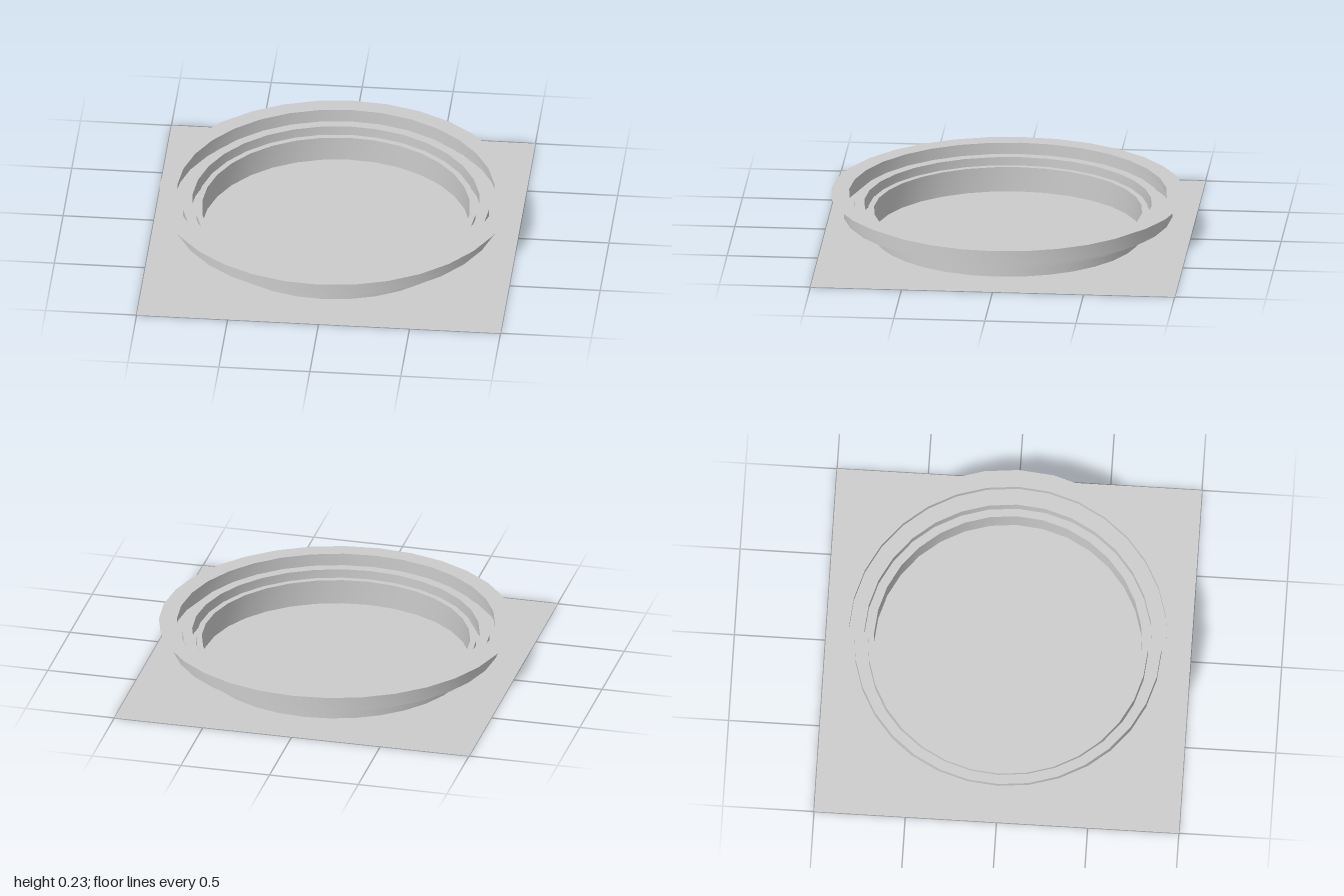
import * as THREE from 'three';
import { toCreasedNormals } from 'three/addons/utils/BufferGeometryUtils.js';

const SIDES = 32;

export function createModel() {
  const group = new THREE.Group();
  const material = new THREE.MeshStandardMaterial({ color: 0xcccccc, side: THREE.DoubleSide });

  const add = (name, geometry) => {
    const mesh = new THREE.Mesh(geometry, material);
    mesh.name = name;
    group.add(mesh);
  };

  // Thin turned sheet from a list of [radius, height], smooth around and sharp at each step
  const addRing = (name, profile) => {
    const points = profile.map(([r, y]) => new THREE.Vector2(r, y));
    add(name, toCreasedNormals(new THREE.LatheGeometry(points, SIDES), 0.6));
  };

  // Flat square sheet under the ring
  add('basePlate', new THREE.PlaneGeometry(2, 2).rotateX(-Math.PI / 2));

  // Innermost wall with its raised lip
  addRing('innerLip', [[0.735, 0], [0.735, 0.14], [0.767, 0.14], [0.767, 0.073]]);

  // Lower groove, undercut below the middle lip
  addRing('lowerGroove', [[0.735, 0.073], [0.803, 0.073], [0.803, 0.124], [0.788, 0.124]]);

  // Raised lip between the two grooves
  addRing('middleLip', [[0.788, 0.124], [0.788, 0.18], [0.842, 0.18], [0.842, 0.124]]);

  // Upper groove, undercut below the flange
  addRing('upperGroove', [[0.803, 0.124], [0.903, 0.124], [0.903, 0.203], [0.872, 0.203]]);

  // Collar and wide flat flange on top
  addRing('flange', [[0.872, 0.203], [0.872, 0.235], [0.97, 0.235]]);

  return group;
}
